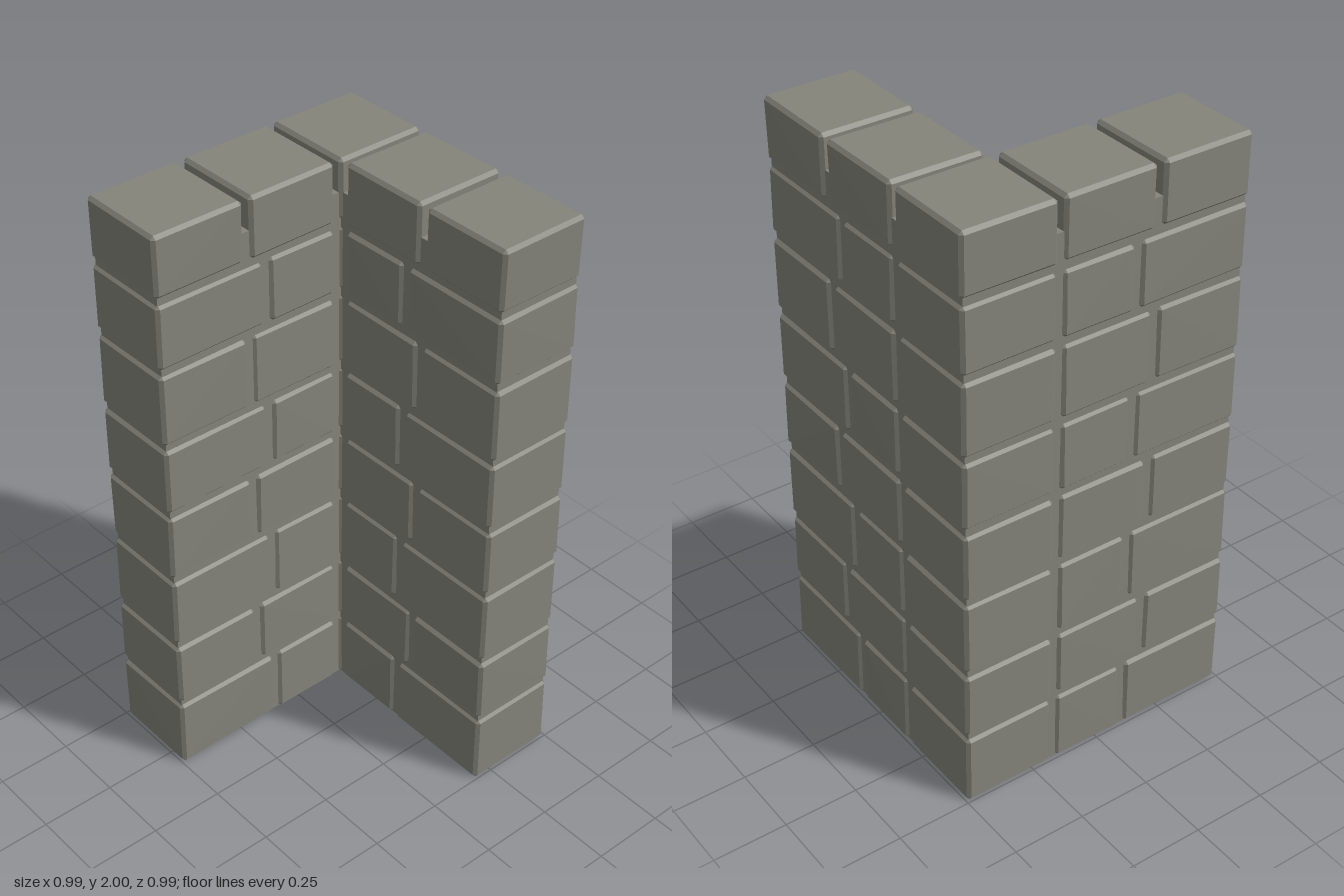
import * as THREE from 'three';
import { ConvexGeometry } from 'three/addons/geometries/ConvexGeometry.js';

const OUT = 0.497;   // outer faces of the wall
const IN = -0.18;    // inner faces of both arms
const BEVEL = 0.011;

// Courses from the ground up: [bottom, top]
const COURSES = [
  [0, 0.25], [0.265, 0.497], [0.517, 0.767], [0.787, 1.02],
  [1.04, 1.272], [1.29, 1.536], [1.556, 1.776], [1.796, 2],
];

// Small seeded generator for the hand-laid irregularity
let seed = 7;
function random() {
  seed = (seed * 16807) % 2147483647;
  return seed / 2147483647;
}

// Chamfered block between two corners, each corner pulled in very slightly
function brickGeometry(min, max) {
  const points = [];
  for (let i = 0; i < 8; i++) {
    const side = [i & 1, (i >> 1) & 1, (i >> 2) & 1];
    const inward = side.map((s) => (s ? -1 : 1));
    const corner = side.map((s, k) => (s ? max[k] : min[k]) + inward[k] * random() * 0.003);
    if (!side[1] && min[1] === 0) corner[1] = 0;
    if (side[1] && max[1] === 2) corner[1] = 2;
    for (let face = 0; face < 3; face++) {
      const p = corner.map((c, k) => (k === face ? c : c + inward[k] * BEVEL));
      points.push(new THREE.Vector3(...p));
    }
  }
  return new ConvexGeometry(points);
}

export function createModel() {
  const group = new THREE.Group();
  group.name = 'cornerWall';
  const stone = new THREE.MeshStandardMaterial({ color: 0x84847b });
  stone.name = 'grey stone';

  const addBrick = (name, min, max) => {
    const mesh = new THREE.Mesh(brickGeometry(min, max), stone);
    mesh.name = name;
    group.add(mesh);
  };

  // Mortar core: an L-shaped column set just behind the brick faces
  const o = OUT - 0.011, n = IN - 0.011;
  const plan = new THREE.Shape(
    [[-o, -o], [n, -o], [n, -n], [o, -n], [o, o], [-o, o]].map((p) => new THREE.Vector2(...p)),
  );
  const coreGeometry = new THREE.ExtrudeGeometry(plan, { depth: 1.888, bevelEnabled: false });
  coreGeometry.rotateX(-Math.PI / 2).translate(0, 0.002, 0);
  const core = new THREE.Mesh(coreGeometry, stone);
  core.name = 'mortarCore';
  group.add(core);

  // Courses: a shared corner block, then two bricks along each arm, with alternating joints
  COURSES.forEach(([y0, y1], row) => {
    const joint = row % 2 ? 0.168 : 0.1;
    addBrick('cornerBrick', [-OUT, y0, -OUT], [IN, y1, IN]);
    for (const [a, b] of [[-0.16, joint - 0.011], [joint + 0.011, OUT]]) {
      addBrick('backArmBrick', [a, y0, -OUT], [b, y1, IN]);
      addBrick('sideArmBrick', [-OUT, y0, a], [IN, y1, b]);
    }
  });

  return group;
}
